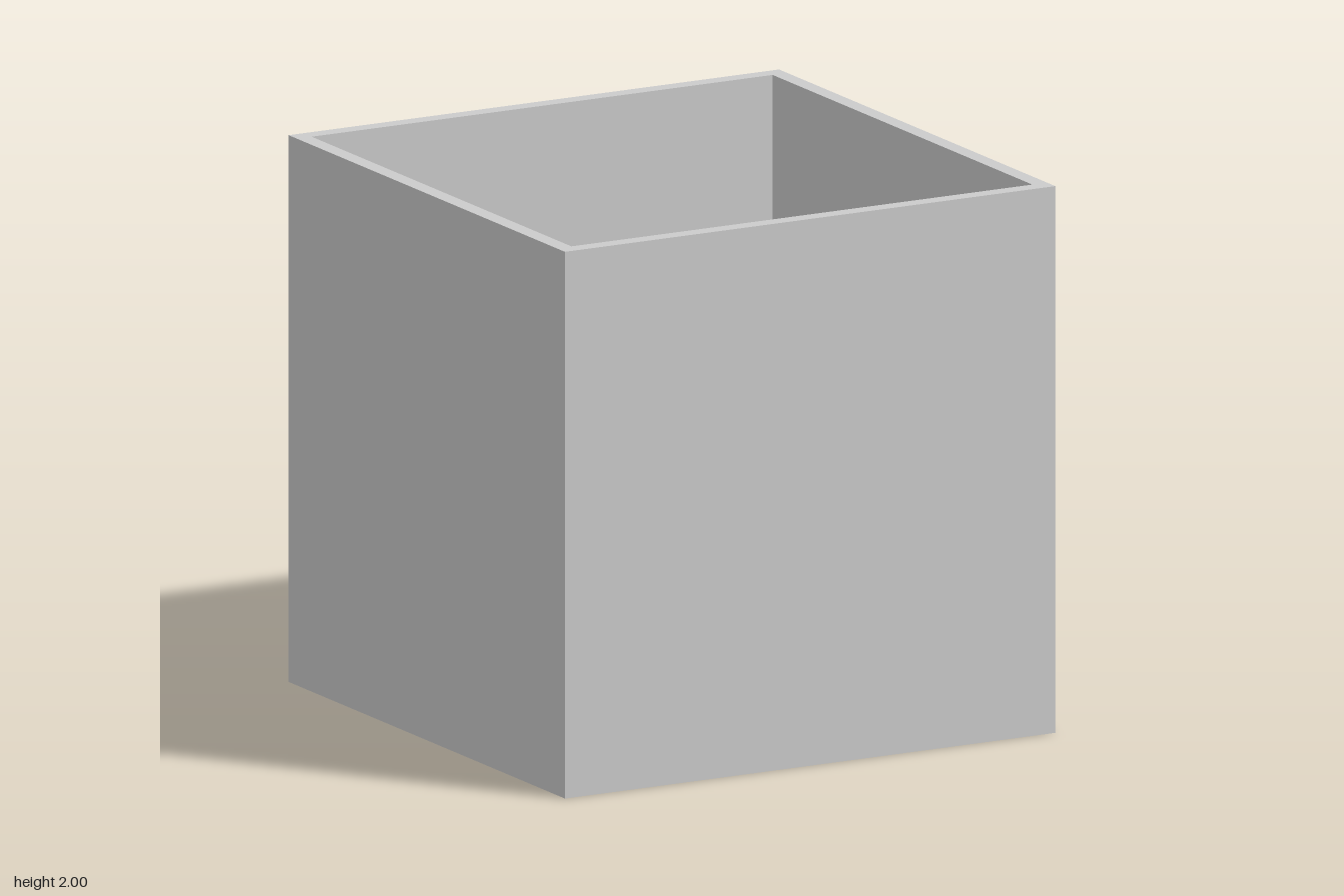
import * as THREE from 'three';

const grey = new THREE.MeshStandardMaterial({ color: 0xcccccc });
const FLOOR = 0.06; // floor thickness
const DECK = 0.48;  // height of the raised walkway

// Shape in plan, [x, z] corners, raised from the floor to the given height
function raised(name, corners, top) {
  const shape = new THREE.Shape(corners.map(([x, z]) => new THREE.Vector2(x, -z)));
  const geo = new THREE.ExtrudeGeometry(shape, { depth: top - FLOOR, bevelEnabled: false });
  geo.rotateX(-Math.PI / 2).translate(0, FLOOR, 0);
  return named(name, geo);
}

function named(name, geo) {
  const mesh = new THREE.Mesh(geo, grey);
  mesh.name = name;
  return mesh;
}

export function createModel() {
  const model = new THREE.Group();
  model.name = 'openBox';

  // Open box: a four-sided turned profile with walls and a floor
  const outer = Math.SQRT2, inner = 0.94 * Math.SQRT2;
  const profile = [[0, 0], [outer, 0], [outer, 2], [inner, 2], [inner, FLOOR], [0, FLOOR]]
    .map(([r, y]) => new THREE.Vector2(r, y));
  const box = new THREE.LatheGeometry(profile, 4, Math.PI / 4).toNonIndexed();
  box.computeVertexNormals();
  model.add(named('boxShell', box));

  // Straight block near the back wall
  model.add(raised('backBlock',
    [[-0.45, -0.64], [0.45, -0.64], [0.45, -0.72], [-0.45, -0.72]], 0.3));

  // Platform and the narrow walkway leading forward from it
  model.add(raised('platform', [[-0.42, 0.45], [-0.315, 0.45], [-0.315, -0.17],
    [-0.04, -0.17], [-0.04, -0.45], [-0.42, -0.45]], DECK));

  // Ramp down from the walkway, levelling out at its foot
  const side = new THREE.Shape();
  side.moveTo(-0.32, FLOOR);
  side.lineTo(0.115, FLOOR);
  side.quadraticCurveTo(0.06, FLOOR + 0.005, 0.02, FLOOR + 0.05);
  side.lineTo(-0.32, DECK);
  const ramp = new THREE.ExtrudeGeometry(side, { depth: 0.105, bevelEnabled: false, curveSegments: 8 });
  ramp.translate(0, 0, 0.345);
  model.add(named('ramp', ramp));

  return model;
}
